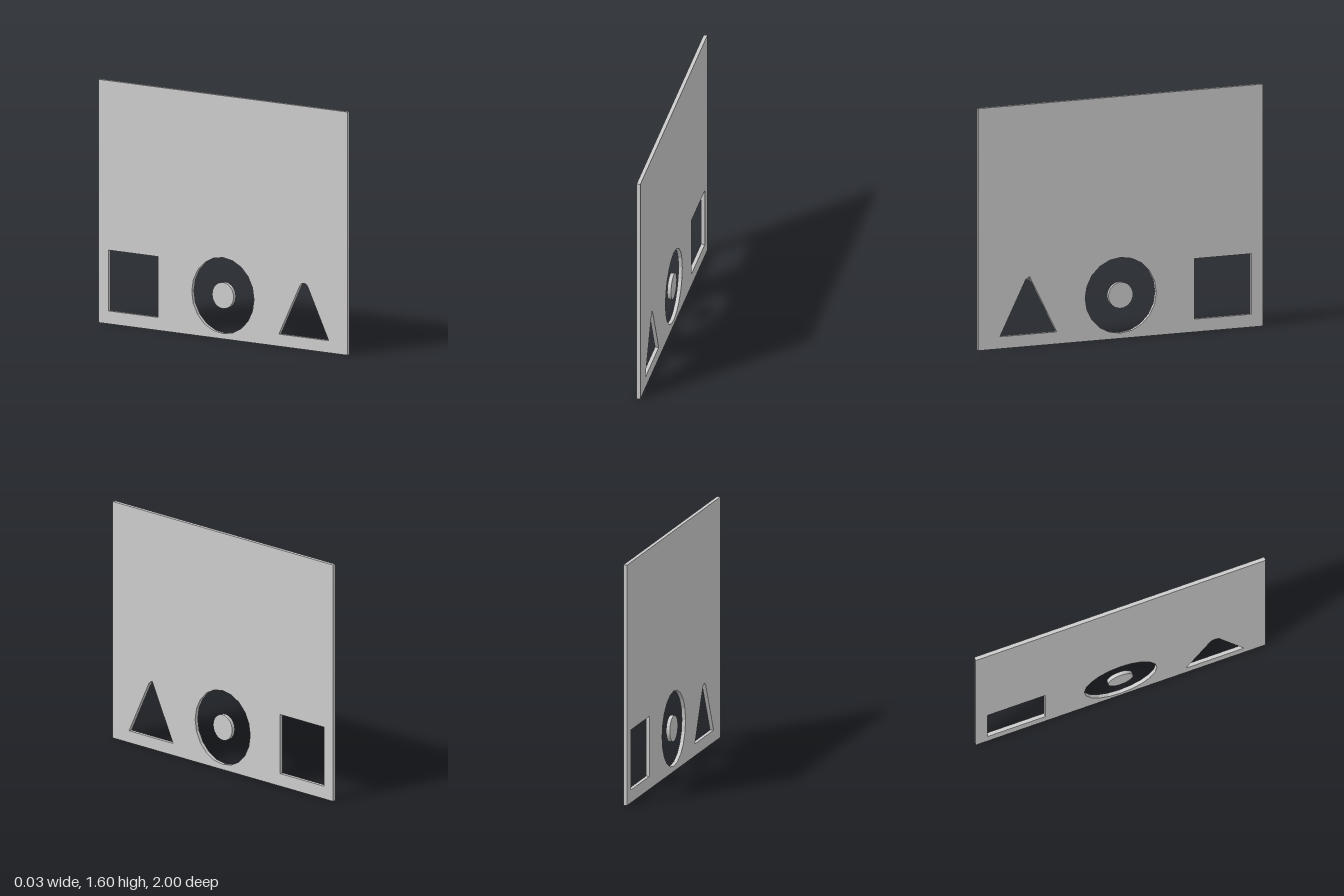
import * as THREE from 'three';

const T = 0.025; // plate thickness
const material = new THREE.MeshStandardMaterial({ color: 0xcccccc, flatShading: true });

// Closed path from [u, v] pairs, where u runs towards -z
const pathOf = (Type, pts) => new Type(pts.map(([u, v]) => new THREE.Vector2(u, v)));

// Regular polygon points
const ring = (u, v, r, n) => Array.from({ length: n }, (_, i) => {
  const a = (i / n) * Math.PI * 2;
  return [u + r * Math.cos(a), v + r * Math.sin(a)];
});

const box = (u0, v0, u1, v1) => [[u0, v0], [u1, v0], [u1, v1], [u0, v1]];

function slab(shape) {
  const geo = new THREE.ExtrudeGeometry(shape, { depth: T, bevelEnabled: false });
  return geo.translate(0, 0, -T / 2);
}

function addPart(group, name, geo) {
  const mesh = new THREE.Mesh(geo.rotateY(Math.PI / 2), material);
  mesh.name = name;
  group.add(mesh);
}

export function createModel() {
  const group = new THREE.Group();
  group.name = 'cutoutPanel';

  // Panel with square and round windows
  const panel = pathOf(THREE.Shape, box(-1, 0, 1, 1.6));
  panel.holes.push(pathOf(THREE.Path, box(0.52, 0.085, 0.92, 0.485)));
  panel.holes.push(pathOf(THREE.Path, ring(0, 0.285, 0.25, 20)));

  // Triangular window with a rounded tip
  const cu = -0.65, apex = 0.48, r = 0.036;
  const half = Math.atan(0.5);
  const cv = apex - r / Math.sin(half);
  const tri = [[cu - 0.2, 0.08], [cu + 0.2, 0.08]];
  const steps = 12;
  for (let i = 0; i <= steps; i++) {
    const a = half + (i / steps) * (Math.PI - 2 * half);
    tri.push([cu + r * Math.cos(a), cv + r * Math.sin(a)]);
  }
  panel.holes.push(pathOf(THREE.Path, tri));

  // On the +x face the tip is drawn out to a sharp point
  const geo = slab(panel);
  const p = geo.attributes.position;
  for (let i = 0; i < p.count; i++) {
    const d = Math.abs(p.getX(i) - cu), y = p.getY(i);
    if (p.getZ(i) > 0 && d < 0.04 && y > 0.4 && y < 0.5) p.setY(i, apex - 2 * d);
  }
  geo.computeVertexNormals();
  addPart(group, 'panel', geo);

  // Free disc in the middle of the round window
  addPart(group, 'centreDisc', slab(pathOf(THREE.Shape, ring(0, 0.285, 0.086, 32))));

  return group;
}
